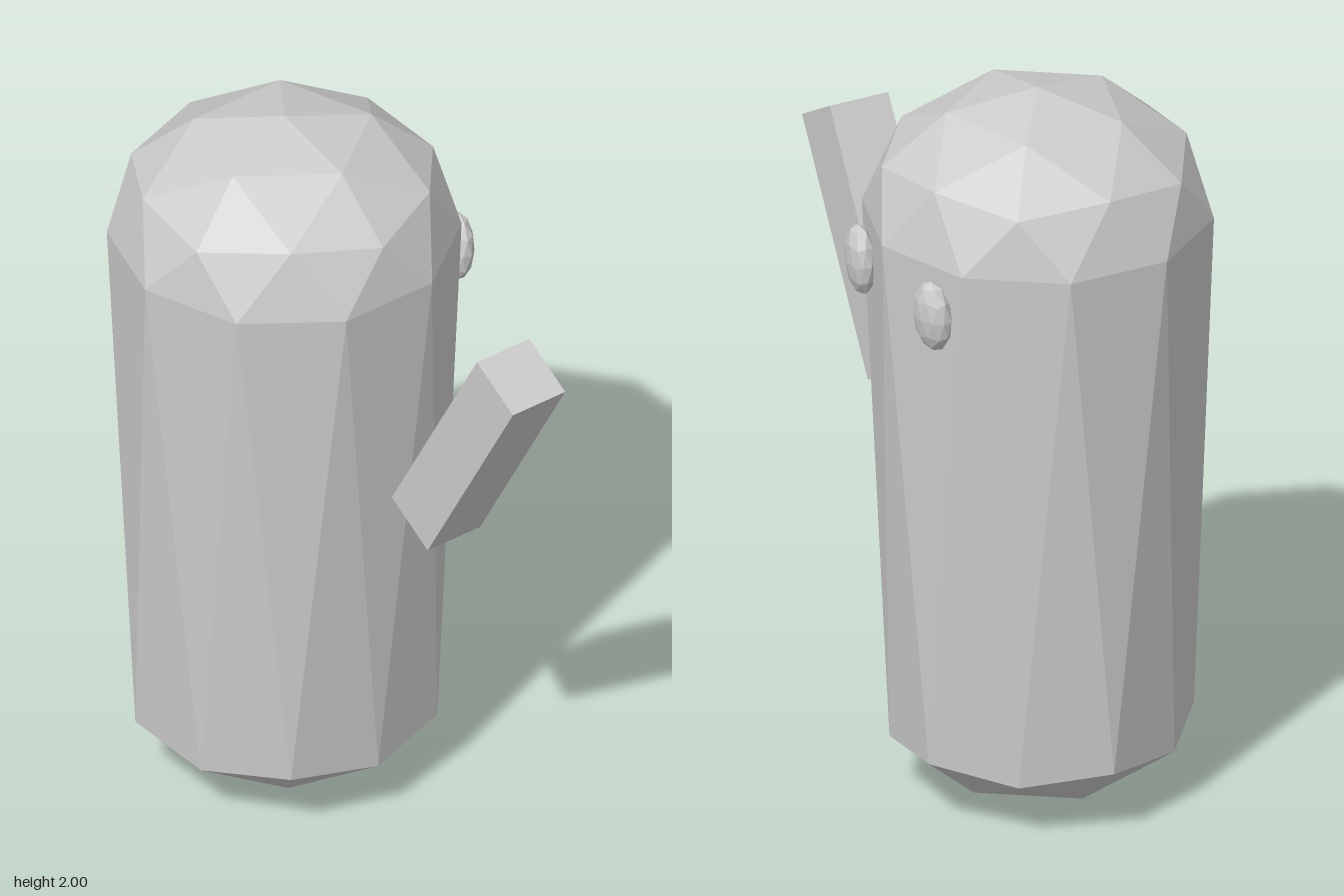
import * as THREE from 'three';

const material = new THREE.MeshStandardMaterial({ color: 0xcccccc, flatShading: true });

// Unit icosphere with a vertex at each pole and an upper-ring vertex on +x
function poleIcosphere(detail) {
  const verts = [0, 1, 0];
  const h = Math.sqrt(0.2), r = 2 * h;
  for (const side of [1, -1]) {
    for (let i = 0; i < 5; i++) {
      const a = (i + (side < 0 ? 0.5 : 0)) * Math.PI * 0.4;
      verts.push(r * Math.cos(a), side * h, r * Math.sin(a));
    }
  }
  verts.push(0, -1, 0);
  const faces = [];
  for (let i = 0; i < 5; i++) {
    const j = (i + 1) % 5;
    const u = 1 + i, un = 1 + j, l = 6 + i, ln = 6 + j;
    faces.push(0, un, u, u, un, l, un, ln, l, l, ln, 11);
  }
  return new THREE.PolyhedronGeometry(verts, faces, 1, detail);
}

function addMesh(parent, name, geometry, x, y, z) {
  const mesh = new THREE.Mesh(geometry, material);
  mesh.name = name;
  mesh.position.set(x, y, z);
  parent.add(mesh);
  return mesh;
}

export function createModel() {
  const group = new THREE.Group();
  group.name = 'figure';

  // Body: icosphere pulled apart below its equator into a tapering capsule
  const body = poleIcosphere(1);
  const p = body.attributes.position;
  for (let i = 0; i < p.count; i++) {
    const y = p.getY(i);
    p.setXYZ(i, p.getX(i) * 0.46, y * 0.35 + (y > -0.01 ? 1.65 : 0.353), p.getZ(i) * 0.46);
  }
  body.computeVertexNormals();
  addMesh(group, 'body', body, -0.255, 0, 0);

  // Raised arm: a tilted block beside the body
  const arm = addMesh(group, 'arm', new THREE.BoxGeometry(0.173, 0.71, 0.173), 0.437, 1.3, -0.093);
  arm.rotation.z = -Math.PI / 6;

  // Pair of oval eyes on the back side, following the body's surface
  for (const side of [1, -1]) {
    const eye = poleIcosphere(1).scale(0.064, 0.1, 0.04);
    eye.computeVertexNormals();
    const name = side > 0 ? 'leftEye' : 'rightEye';
    const mesh = addMesh(group, name, eye, -0.255 + side * 0.194, 1.52, -0.417);
    mesh.rotation.set(-0.06, -side * 0.2, 0, 'YXZ');
  }

  return group;
}
